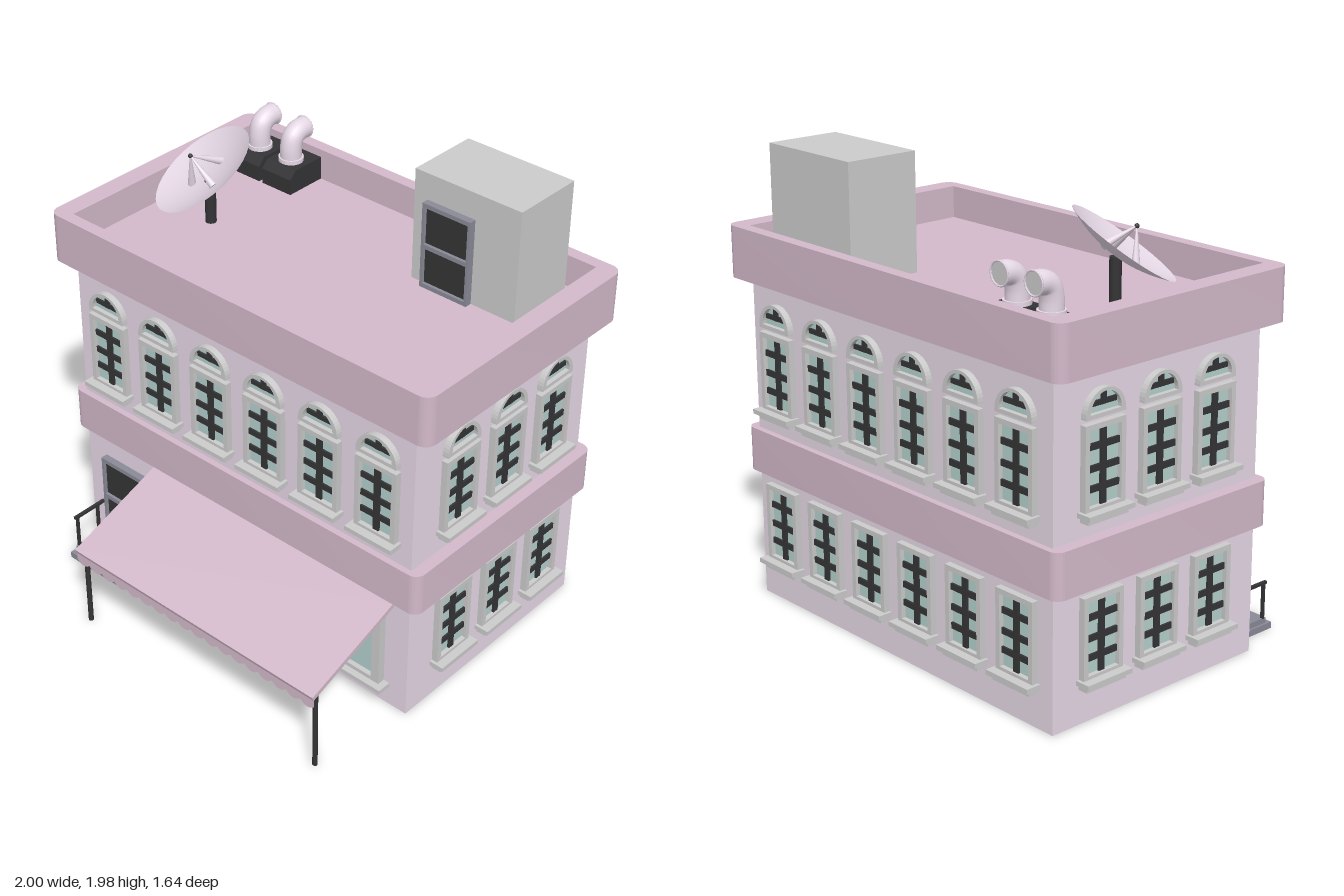
import * as THREE from 'three';
import { toCreasedNormals } from 'three/addons/utils/BufferGeometryUtils.js';

const mat = (color, side = THREE.FrontSide) => new THREE.MeshStandardMaterial({ color, side });
const M = {
  grey: mat(0xcccccc), wall: mat(0xe6d8e6), band: mat(0xd3b9ca), dark: mat(0x343436),
  glass: mat(0xb4d0cd), slate: mat(0x8a8a98),
  cloth: mat(0xd3b9ca, THREE.DoubleSide), dish: mat(0xe6d8e6, THREE.DoubleSide),
};

function add(parent, name, geometry, material, x = 0, y = 0, z = 0) {
  const m = new THREE.Mesh(geometry, material);
  m.name = name;
  m.position.set(x, y, z);
  parent.add(m);
  return m;
}

// Box given by its extents on each axis
function box(parent, name, material, x0, x1, y0, y1, z0, z1) {
  return add(parent, name, new THREE.BoxGeometry(x1 - x0, y1 - y0, z1 - z0), material,
    (x0 + x1) / 2, (y0 + y1) / 2, (z0 + z1) / 2);
}

// Round bar between two points, r0 at a and r1 at b
function bar(parent, name, material, a, b, r0, r1 = r0) {
  const A = new THREE.Vector3(...a), B = new THREE.Vector3(...b), d = B.clone().sub(A);
  const m = add(parent, name, new THREE.CylinderGeometry(r1, r0, d.length(), 10), material);
  m.position.copy(A).add(B).multiplyScalar(0.5);
  m.quaternion.setFromUnitVectors(new THREE.Vector3(0, 1, 0), d.normalize());
  return m;
}

function rectPath(P, x0, x1, y0, y1) {
  const p = new P();
  p.moveTo(x0, y0); p.lineTo(x1, y0); p.lineTo(x1, y1); p.lineTo(x0, y1); p.closePath();
  return p;
}

function archPath(P, r, y0, yc) {
  const p = new P();
  p.moveTo(-r, y0); p.lineTo(r, y0); p.lineTo(r, yc);
  p.absarc(0, yc, r, 0, Math.PI, false);
  p.closePath();
  return p;
}

const extrude = (shape, depth) =>
  new THREE.ExtrudeGeometry(shape, { depth, bevelEnabled: false, curveSegments: 10 });

function frame(outer, hole, depth) {
  outer.holes.push(hole);
  return extrude(outer, depth);
}

// Rounded cornice ring or slab lying flat
function cornice(parent, name, hw, hd, r, y0, y1, hole) {
  const s = new THREE.Shape();
  s.moveTo(-hw + r, -hd);
  s.absarc(hw - r, -hd + r, r, -Math.PI / 2, 0, false);
  s.absarc(hw - r, hd - r, r, 0, Math.PI / 2, false);
  s.absarc(-hw + r, hd - r, r, Math.PI / 2, Math.PI, false);
  s.absarc(-hw + r, -hd + r, r, Math.PI, Math.PI * 1.5, false);
  if (hole) s.holes.push(rectPath(THREE.Path, -hole[0], hole[0], -hole[1], hole[1]));
  const g = extrude(s, y1 - y0).rotateX(-Math.PI / 2);
  add(parent, name, toCreasedNormals(g, 0.6), M.band, 0, y0, -0.208);
}

// Window facing +z, wall plane at z = 0, sill bottom at y = 0
function makeWindow(arched) {
  const g = new THREE.Group();
  g.name = arched ? 'archedWindow' : 'window';
  add(g, 'windowFrame', frame(rectPath(THREE.Shape, -0.102, 0.102, 0.04, 0.375),
    rectPath(THREE.Path, -0.08, 0.08, 0.055, 0.353), 0.028), M.grey);
  box(g, 'windowGlass', M.glass, -0.085, 0.085, 0.05, 0.357, 0, 0.008);
  box(g, 'mullion', M.dark, -0.014, 0.014, 0.055, 0.353, 0, 0.018);
  for (const y of [0.122, 0.2, 0.285])
    box(g, 'muntin', M.dark, -0.08, 0.08, y - 0.013, y + 0.013, 0, 0.017);
  box(g, 'sill', M.grey, -0.116, 0.116, 0.022, 0.042, 0, 0.066);
  box(g, 'sillApron', M.grey, -0.102, 0.102, 0, 0.022, 0, 0.045);
  if (arched) {
    add(g, 'archFrame', frame(archPath(THREE.Shape, 0.1, 0.395, 0.403),
      archPath(THREE.Path, 0.077, 0.411, 0.413), 0.028), M.grey);
    add(g, 'archGlass', extrude(archPath(THREE.Shape, 0.08, 0.405, 0.41), 0.008), M.glass);
    box(g, 'archMuntin', M.dark, -0.064, 0.064, 0.437, 0.457, 0, 0.017);
    box(g, 'archMullion', M.dark, -0.012, 0.012, 0.437, 0.49, 0, 0.018);
  }
  return g;
}

// Two-panel door facing +z, base at the origin
function makeDoor(parent, name, w, h, x, y, z) {
  const g = new THREE.Group();
  g.name = name;
  g.position.set(x, y, z);
  parent.add(g);
  const s = rectPath(THREE.Shape, -w / 2, w / 2, 0, h), e = w / 2 - 0.012;
  s.holes.push(rectPath(THREE.Path, -e, e, h * 0.05, h * 0.47));
  s.holes.push(rectPath(THREE.Path, -e, e, h * 0.52, h * 0.95));
  add(g, 'doorFrame', extrude(s, 0.032), M.slate);
  box(g, 'doorPanels', M.dark, -e, e, 0.01, h - 0.01, 0, 0.018);
}

export function createModel() {
  const root = new THREE.Group();
  root.name = 'building';

  // Body, cornices and roof
  box(root, 'walls', M.wall, -0.908, 0.908, 0, 1.46, -0.75, 0.335);
  box(root, 'roof', M.band, -0.93, 0.93, 1.42, 1.48, -0.77, 0.35);
  cornice(root, 'middleCornice', 0.96, 0.57, 0.045, 0.56, 0.75);
  cornice(root, 'parapet', 1, 0.6, 0.05, 1.4, 1.62, [0.91, 0.545]);

  // Windows on all walls
  const upper = makeWindow(true), lower = makeWindow(false);
  const place = (proto, x, y, z, ry) => {
    const w = proto.clone();
    w.position.set(x, y, z);
    w.rotation.y = ry;
    root.add(w);
  };
  for (let i = 0; i < 6; i++) {
    const x = -0.725 + i * 0.2925;
    place(upper, x, 0.815, 0.335, 0);
    place(upper, x, 0.815, -0.75, Math.PI);
    place(lower, x, 0.145, -0.75, Math.PI);
  }
  for (const s of [-1, 1]) for (let i = 0; i < 3; i++) {
    const z = 0.075 - i * 0.295;
    place(upper, s * 0.908, 0.815, z, s * Math.PI / 2);
    place(lower, s * 0.908, 0.145, z, s * Math.PI / 2);
  }

  // Entrance with steps and railings
  makeDoor(root, 'frontDoor', 0.25, 0.4, -0.68, 0.05, 0.335);
  box(root, 'lowerStep', M.slate, -0.825, -0.53, 0, 0.028, 0.33, 0.565);
  box(root, 'upperStep', M.slate, -0.815, -0.54, 0.028, 0.053, 0.33, 0.54);
  for (const x of [-0.81, -0.548]) {
    for (const z of [0.405, 0.525]) box(root, 'railPost', M.dark, x - 0.006, x + 0.006, 0.05, 0.21, z - 0.006, z + 0.006);
    box(root, 'handrail', M.dark, x - 0.007, x + 0.007, 0.204, 0.216, 0.365, 0.54);
  }

  // Shop window
  add(root, 'shopFrame', frame(rectPath(THREE.Shape, -0.45, 0.79, 0.1, 0.51),
    rectPath(THREE.Path, -0.415, 0.75, 0.13, 0.48), 0.035), M.grey, 0, 0, 0.335);
  box(root, 'shopGlass', M.glass, -0.43, 0.77, 0.11, 0.5, 0.335, 0.348);
  box(root, 'shopSill', M.grey, -0.48, 0.82, 0.092, 0.112, 0.335, 0.4);
  box(root, 'shopSillApron', M.grey, -0.46, 0.8, 0.07, 0.092, 0.335, 0.38);

  // Awning, scalloped valance and posts
  const canopy = box(root, 'awning', M.cloth, -0.482, 0.842, 0.454, 0.474, 0.34, 0.84);
  canopy.rotation.x = Math.atan2(0.17, 0.47);
  const v = new THREE.Shape(), n = 18, step = 1.324 / n;
  v.moveTo(0.842, 0.385);
  v.lineTo(-0.482, 0.385);
  v.lineTo(-0.482, 0.335);
  for (let i = 0; i < n; i++) {
    const x = -0.482 + i * step;
    v.quadraticCurveTo(x + step / 2, 0.298, x + step, 0.335);
  }
  add(root, 'valance', new THREE.ShapeGeometry(v, 6), M.cloth, 0, 0, 0.818);
  for (const x of [-0.45, 0.828]) bar(root, 'awningPost', M.dark, [x, 0.005, 0.795], [x, 0.38, 0.795], 0.011);

  // Rooftop stair house
  box(root, 'stairHouse', M.grey, 0.28, 0.795, 1.47, 1.975, -0.72, -0.39);
  makeDoor(root, 'roofDoor', 0.235, 0.38, 0.463, 1.48, -0.39);

  // Satellite dish with feed tripod
  bar(root, 'dishPost', M.dark, [-0.625, 1.47, -0.17], [-0.625, 1.68, -0.17], 0.024);
  const dish = new THREE.Group();
  dish.name = 'dish';
  dish.position.set(-0.645, 1.73, -0.145);
  dish.quaternion.setFromUnitVectors(new THREE.Vector3(0, 1, 0), new THREE.Vector3(-0.36, 0.81, 0.45).normalize());
  const profile = [];
  for (let i = 0; i <= 8; i++) profile.push(new THREE.Vector2(0.24 * i / 8, 0.055 * ((i / 8) ** 2 - 1)));
  add(dish, 'dishBowl', new THREE.LatheGeometry(profile, 32), M.dish);
  for (const a of [-87, 33, 153]) {
    const t = a * Math.PI / 180;
    bar(dish, 'feedLeg', M.wall, [0.09 * Math.cos(t), -0.047, 0.09 * Math.sin(t)], [0, 0.08, 0], 0.018, 0.003);
  }
  add(dish, 'feed', new THREE.SphereGeometry(0.01, 10, 8), M.dark, 0, 0.08, 0);
  root.add(dish);

  // Roof vents with elbows opening to the back
  const side = new THREE.Shape([[-0.755, 1.47], [-0.555, 1.47], [-0.555, 1.55], [-0.59, 1.585], [-0.755, 1.585]]
    .map(p => new THREE.Vector2(...p)));
  const path = new THREE.CatmullRomCurve3([[1.56, -0.65], [1.65, -0.65], [1.692, -0.664], [1.71, -0.695], [1.712, -0.735]]
    .map(([y, z]) => new THREE.Vector3(0, y, z)));
  for (const x of [-0.79, -0.608]) {
    const vent = new THREE.Group();
    vent.name = 'roofVent';
    vent.position.x = x;
    add(vent, 'ventBase', extrude(side, 0.162).rotateY(-Math.PI / 2), M.dark, 0.081);
    add(vent, 'ventPipe', new THREE.TubeGeometry(path, 20, 0.047, 18), M.dish);
    add(vent, 'ventMouth', new THREE.CircleGeometry(0.046, 18).rotateY(Math.PI), M.grey, 0, 1.712, -0.73);
    add(vent, 'ventRim', new THREE.TorusGeometry(0.047, 0.004, 6, 18), M.dish, 0, 1.712, -0.735);
    add(vent, 'ventCollar', new THREE.CylinderGeometry(0.055, 0.055, 0.02, 18), M.wall, 0, 1.593, -0.65);
    root.add(vent);
  }
  return root;
}
